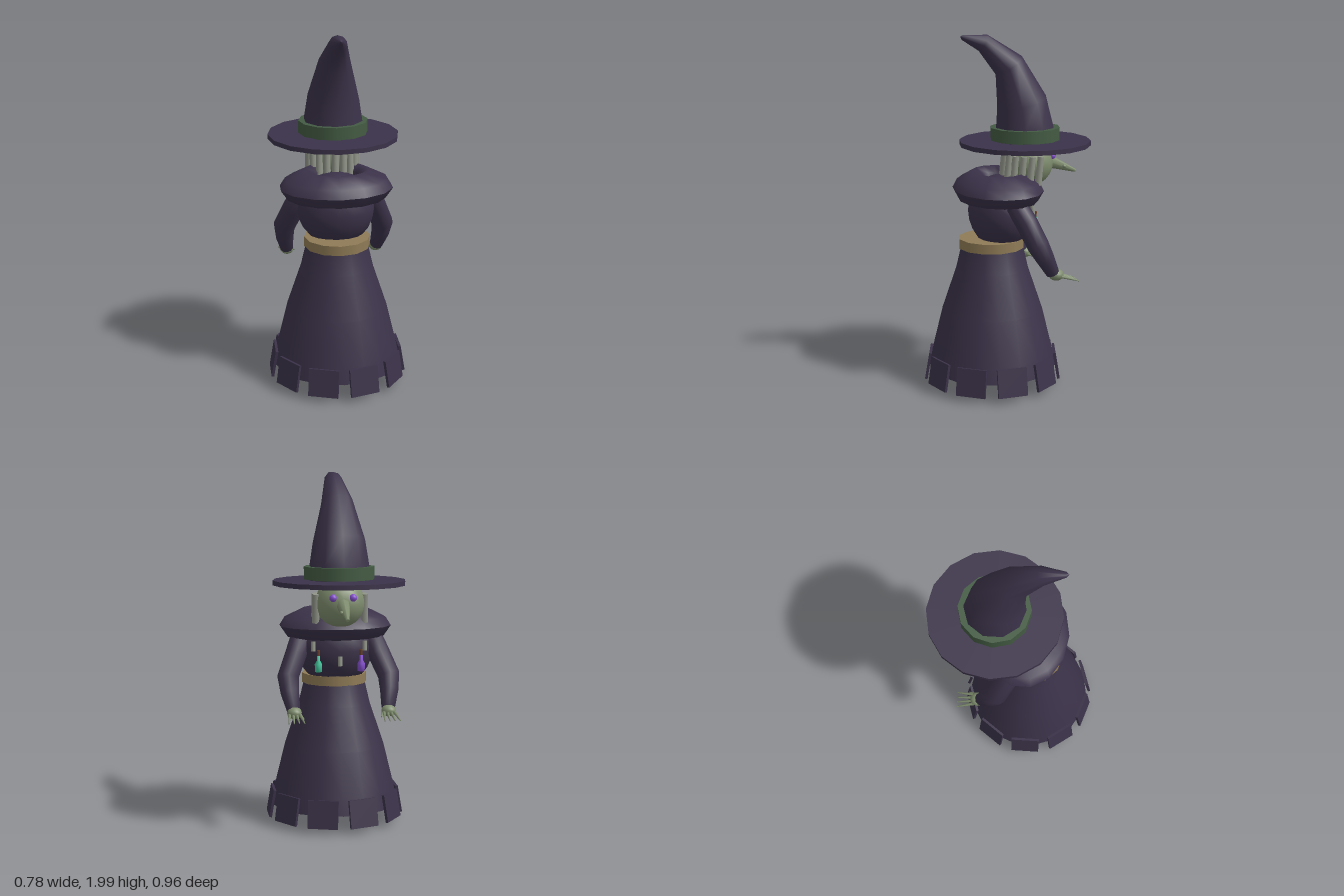
import * as THREE from 'three';

const V = (x, y, z) => new THREE.Vector3(x, y, z);
const paint = (name, color) => {
  const m = new THREE.MeshStandardMaterial({ color });
  m.name = name;
  return m;
};

// Smooth tube through [x, y, z, radius] stations, each ring square to the path
function loft(stations, sides) {
  const pts = stations.map(([x, y, z]) => V(x, y, z));
  const pos = [], index = [];
  pts.forEach((p, i) => {
    const t = pts[Math.min(i + 1, pts.length - 1)].clone().sub(pts[Math.max(i - 1, 0)]).normalize();
    const u = V(1, 0, 0).addScaledVector(t, -t.x).normalize();
    const v = t.clone().cross(u);
    for (let j = 0; j < sides; j++) {
      const a = (j / sides) * Math.PI * 2 + Math.PI / 2, r = stations[i][3];
      const q = p.clone().addScaledVector(u, r * Math.cos(a)).addScaledVector(v, r * Math.sin(a));
      pos.push(q.x, q.y, q.z);
      if (i < pts.length - 1) {
        const k = (j + 1) % sides, n = i * sides;
        index.push(n + j, n + k, n + sides + k, n + j, n + sides + k, n + sides + j);
      }
    }
  });
  const g = new THREE.BufferGeometry();
  g.setAttribute('position', new THREE.Float32BufferAttribute(pos, 3));
  g.setIndex(index);
  g.computeVertexNormals();
  return g;
}

// Tapered rod from point a to point b
function rod(a, b, ra, rb, sides = 8) {
  const d = b.clone().sub(a);
  const g = new THREE.CylinderGeometry(rb, ra, d.length(), sides);
  g.applyQuaternion(new THREE.Quaternion().setFromUnitVectors(V(0, 1, 0), d.normalize()));
  const mid = a.clone().add(b).multiplyScalar(0.5);
  return g.translate(mid.x, mid.y, mid.z);
}

const lathe = (pts, sides) =>
  new THREE.LatheGeometry(pts.map(([r, y]) => new THREE.Vector2(r, y)), sides);
const ball = (rx, ry, rz, w = 16, h = 12) => new THREE.SphereGeometry(1, w, h).scale(rx, ry, rz);

export function createModel() {
  const root = new THREE.Group();
  root.name = 'hatted figure';
  const cloth = paint('dark violet cloth', 0x3b3249);
  const green = paint('hat band green', 0x435b43);
  const skin = paint('olive skin', 0x7f8d6e);
  const grey = paint('grey hair', 0x8f9387);
  const tan = paint('tan belt', 0x8f7b56);
  const brown = paint('brown leather', 0x6b3f29);
  const purple = paint('purple', 0x8650d0);
  const teal = paint('teal', 0x43c99f);

  const add = (name, geo, mat, x = 0, y = 0, z = 0, parent = root) => {
    const m = new THREE.Mesh(geo, mat);
    m.name = name;
    m.position.set(x, y, z);
    parent.add(m);
    return m;
  };

  // Hat: brim, band and bent crown
  add('hatBrim', new THREE.CylinderGeometry(0.37, 0.37, 0.026, 16), cloth, 0, 1.387, -0.11);
  add('hatBand', new THREE.CylinderGeometry(0.197, 0.197, 0.07, 12), green, 0, 1.44, -0.11);
  add('hatCrown', loft([
    [0, 1.39, -0.11, 0.175], [0, 1.475, -0.107, 0.168], [0, 1.61, -0.09, 0.147],
    [0, 1.82, -0.015, 0.09], [0, 1.947, 0.133, 0.05], [0, 1.979, 0.25, 0.014], [0, 1.983, 0.262, 0.001],
  ], 10), cloth);

  // Head, eyes, nose and wart
  add('head', ball(0.138, 0.14, 0.138), skin, 0, 1.275, -0.132);
  for (const s of [1, -1]) add('eye', ball(0.021, 0.021, 0.021, 10, 8), purple, s * 0.055, 1.312, -0.253);
  add('nose', rod(V(0, 1.28, -0.23), V(0, 1.207, -0.415), 0.042, 0.009), skin);
  add('wart', ball(0.012, 0.012, 0.012, 8, 6), skin, 0.021, 1.24, -0.34);

  // Hair locks around the back of the head
  for (let i = 0; i < 11; i++) {
    const a = -0.15 + (i / 10) * (Math.PI + 0.3);
    const lock = add('hairLock', new THREE.CylinderGeometry(0.019, 0.021, 0.16, 8), grey,
      0.137 * Math.cos(a), 1.245, -0.128 + 0.14 * Math.sin(a));
    lock.rotation.x = -0.1;
  }

  // Puffed collar and torso
  const collar = [[0.32, 1.13], [0.29, 1.178], [0.18, 1.232], [0.12, 1.2], [0.12, 1.1],
    [0.22, 1.06], [0.28, 1.072], [0.32, 1.13]];
  add('collar', lathe(collar, 14).scale(1, 1, 0.78), cloth, 0, 0, 0.05);
  add('torso', ball(0.218, 0.21, 0.178), cloth, 0, 1.0, 0.037);

  // Belt and skirt
  add('belt', new THREE.CylinderGeometry(0.186, 0.186, 0.055, 12), tan, 0, 0.827, 0.09);
  add('skirt', lathe([[0.365, 0.1], [0.346, 0.19], [0.285, 0.44], [0.204, 0.68], [0.175, 0.805]], 18),
    cloth, 0, 0, 0.085);
  add('skirtBase', new THREE.CircleGeometry(0.365, 18).rotateX(Math.PI / 2), cloth, 0, 0.1, 0.085);

  // Ragged hem patches
  for (let k = 0; k < 10; k++) {
    const pivot = new THREE.Group();
    pivot.name = 'hemPatch';
    pivot.position.set(0, 0.11, 0.085);
    pivot.rotation.y = Math.PI / 2 - (k * Math.PI) / 5;
    root.add(pivot);
    add('patch', new THREE.BoxGeometry(0.17, 0.157, 0.015), cloth, 0, 0, 0.367, pivot).rotation.x = -0.17;
  }

  for (const s of [1, -1]) {
    // Sleeve, hand and fingers
    add('sleeve', loft([
      [s * 0.19, 1.1, 0.02, 0.01], [s * 0.2, 1.075, 0.01, 0.06], [s * 0.235, 0.98, -0.04, 0.063],
      [s * 0.285, 0.86, -0.09, 0.062], [s * 0.28, 0.78, -0.135, 0.052],
      [s * 0.265, 0.69, -0.185, 0.038], [s * 0.264, 0.683, -0.19, 0.002],
    ], 10), cloth);
    add('hand', ball(0.041, 0.034, 0.043, 10, 8), skin, s * 0.263, 0.678, -0.205);
    for (let f = 0; f < 4; f++) {
      const o = f / 1.5 - 1;
      add('finger', rod(V(s * 0.263 + o * 0.028, 0.672, -0.225),
        V(s * 0.263 + o * 0.043, 0.642, -0.325), 0.01, 0.003, 6), skin);
    }
    add('thumb', rod(V(s * 0.235, 0.672, -0.2), V(s * 0.215, 0.65, -0.255), 0.01, 0.003, 6), skin);

    // Foot
    add('ankle', new THREE.CylinderGeometry(0.037, 0.037, 0.1, 10), skin, s * 0.115, 0.07, 0.03);
    add('shoe', ball(0.045, 0.035, 0.075, 12, 8), brown, s * 0.115, 0.035, -0.025);

    // Hanging bottle with stopper
    const glass = s > 0 ? teal : purple;
    add('bottle', lathe([[0, 0.89], [0.02, 0.892], [0.021, 0.935], [0.009, 0.955], [0.009, 0.98], [0, 0.982]], 8),
      glass, s * 0.12, 0, -0.135);
    add('stopper', new THREE.CylinderGeometry(0.008, 0.008, 0.035, 8), brown, s * 0.12, 0.995, -0.132);
  }

  // Bone charms on the chest
  for (const [x, y, z] of [[0.145, 1.03, -0.105], [0, 0.95, -0.147], [-0.145, 1.03, -0.105]]) {
    const bone = add('boneCharm', new THREE.CylinderGeometry(0.013, 0.013, 0.055, 8), grey, x, y, z);
    bone.rotation.x = 0.15;
  }
  return root;
}
